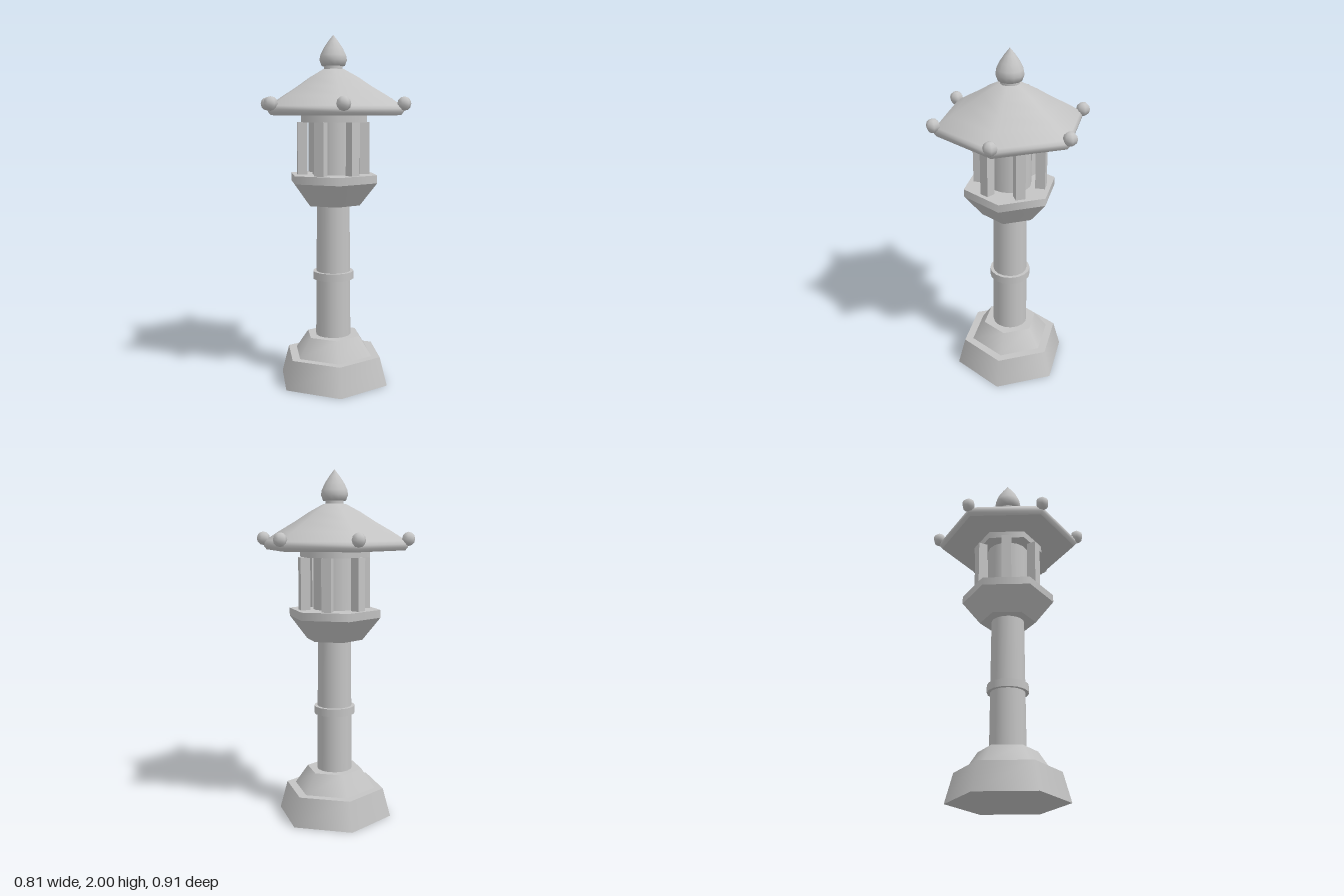
import * as THREE from 'three';

export function createModel() {
  const model = new THREE.Group();
  model.name = 'stoneLantern';
  const stone = new THREE.MeshStandardMaterial({ color: 0xc4c4c4 });
  stone.name = 'grey stone';

  const add = (name, geometry, x = 0, y = 0, z = 0) => {
    const mesh = new THREE.Mesh(geometry, stone);
    mesh.name = name;
    mesh.position.set(x, y, z);
    model.add(mesh);
    return mesh;
  };
  // Tapered prism between two heights; six sides put corners on +z and -z
  const drum = (name, y0, y1, r0, r1, sides = 6) =>
    add(name, new THREE.CylinderGeometry(r1, r0, y1 - y0, sides), 0, (y0 + y1) / 2, 0);
  const lathe = (name, points, sides) =>
    add(name, new THREE.LatheGeometry(points.map(([r, y]) => new THREE.Vector2(r, y)), sides));

  // Stepped foot
  drum('baseLower', 0, 0.165, 0.336, 0.291);
  drum('baseUpper', 0.165, 0.276, 0.239, 0.163);

  // Column with its ring
  drum('column', 0.27, 1.05, 0.102, 0.095, 16);
  drum('columnRing', 0.61, 0.655, 0.118, 0.118, 16);

  // Flared platform
  drum('platformFlare', 1.045, 1.175, 0.163, 0.267);
  drum('platformSlab', 1.175, 1.22, 0.267, 0.267);

  // Lamp chamber and top plate
  drum('lampCore', 1.22, 1.515, 0.12, 0.12, 16);
  drum('topPlate', 1.515, 1.557, 0.203, 0.203);

  // Six posts on the flats, six balls on the roof corners
  for (let i = 0; i < 6; i++) {
    const a = (i * Math.PI) / 3;
    const b = a + Math.PI / 2;
    const post = add('post', new THREE.BoxGeometry(0.055, 0.295, 0.055),
      Math.sin(b) * 0.178, 1.3675, Math.cos(b) * 0.178);
    post.rotation.y = b;
    add('cornerBall', new THREE.SphereGeometry(0.039, 6, 6),
      Math.sin(a) * 0.42, 1.618, Math.cos(a) * 0.42);
  }

  // Roof shell with a rounded eave, and its flat underside
  lathe('roof', [
    [0.402, 1.555], [0.417, 1.572], [0.42, 1.59], [0.408, 1.608],
    [0.325, 1.66], [0.232, 1.713], [0.15, 1.765], [0.065, 1.81], [0, 1.815],
  ], 6);
  const underside = add('roofUnderside', new THREE.CircleGeometry(0.402, 6), 0, 1.555, 0);
  underside.geometry.rotateZ(Math.PI / 2);
  underside.rotation.x = Math.PI / 2;

  // Finial
  drum('finialNeck', 1.8, 1.83, 0.053, 0.053, 12);
  lathe('finial', [
    [0, 1.826], [0.066, 1.828], [0.078, 1.86], [0.073, 1.888],
    [0.055, 1.925], [0.03, 1.962], [0, 2],
  ], 12);

  return model;
}
